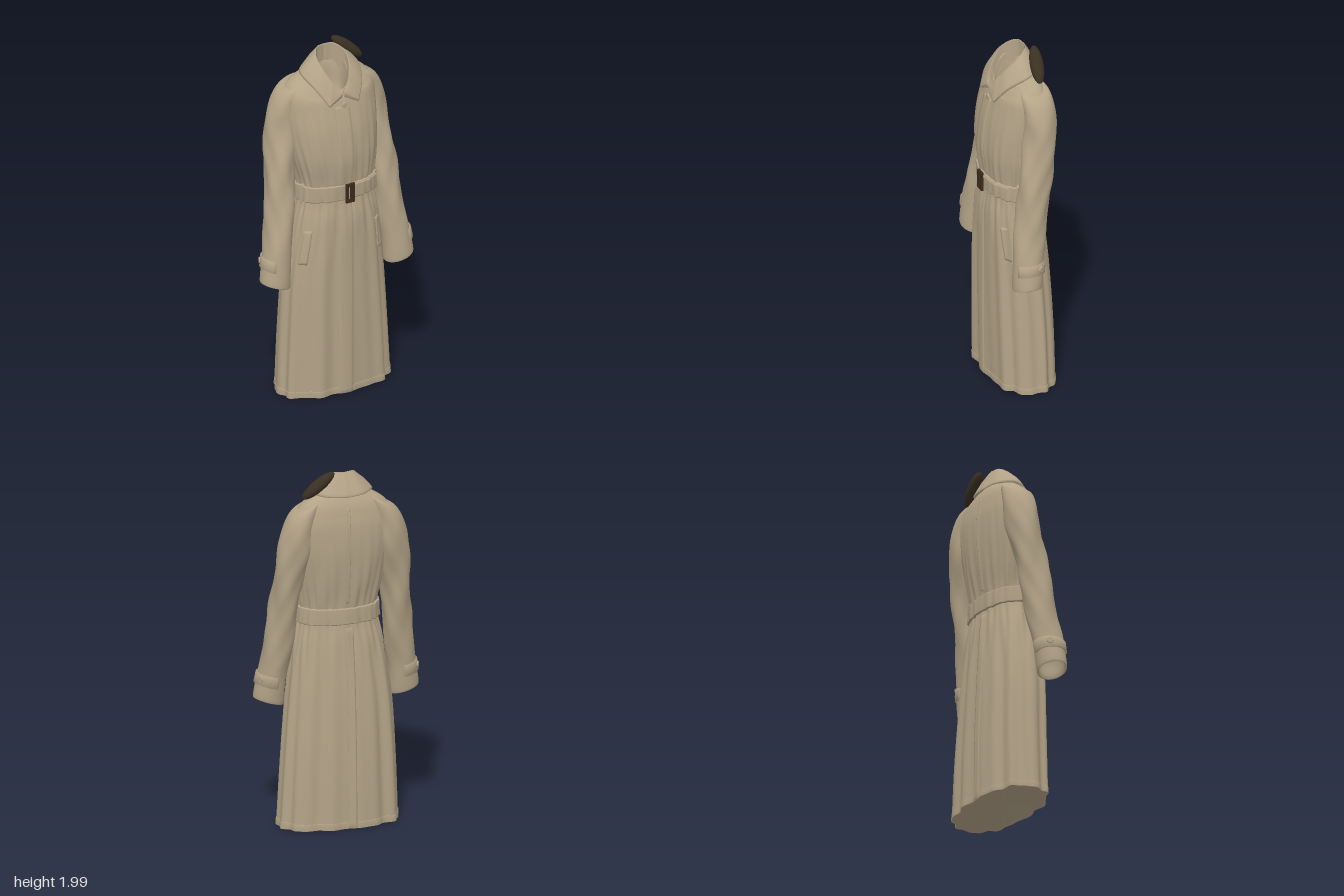
import * as THREE from 'three';
import { mergeVertices } from 'three/addons/utils/BufferGeometryUtils.js';

const mat = (name, color, side = THREE.FrontSide) => {
  const m = new THREE.MeshStandardMaterial({ color, side });
  m.name = name;
  return m;
};

// Smooth surface from a rule fn(u, v, i, j) -> Vector3
function surface(fn, nu, nv) {
  const pos = [], idx = [];
  for (let j = 0; j <= nv; j++)
    for (let i = 0; i <= nu; i++) pos.push(...fn(i / nu, j / nv, i, j).toArray());
  for (let j = 0; j < nv; j++)
    for (let i = 0; i < nu; i++) {
      const a = j * (nu + 1) + i, b = a + 1, c = a + nu + 1, d = c + 1;
      idx.push(a, b, d, a, d, c);
    }
  let g = new THREE.BufferGeometry();
  g.setAttribute('position', new THREE.Float32BufferAttribute(pos, 3));
  g.setIndex(idx);
  g = mergeVertices(g, 1e-5);
  g.computeVertexNormals();
  return g;
}

// Smooth interpolation through rows of numbers, t from 0 to rows.length - 1
function sample(rows, t) {
  const n = rows.length - 1, i = Math.min(Math.max(Math.floor(t), 0), n - 1), f = t - i;
  const at = k => rows[Math.min(Math.max(k, 0), n)];
  const [p, q, r, s] = [at(i - 1), at(i), at(i + 1), at(i + 2)];
  return q.map((b, k) => b + 0.5 * f * (r[k] - p[k] +
    f * (2 * p[k] - 5 * b + 4 * r[k] - s[k] + f * (3 * (b - r[k]) + s[k] - p[k]))));
}

// Body rows: y, centre x, half width, front z, side z, back z, front neckline drop, fold depth
const BODY = [
  [0.01, 0.014, 0.335, 0.165, -0.01, -0.183, 0, 0.013],
  [0.35, 0.01, 0.317, 0.17, -0.01, -0.178, 0, 0.012],
  [0.7, 0.005, 0.292, 0.172, 0, -0.163, 0, 0.01],
  [1.0, 0.01, 0.252, 0.172, 0.01, -0.14, 0, 0.008],
  [1.13, 0.013, 0.225, 0.158, 0.015, -0.125, 0, 0.006],
  [1.2, 0.013, 0.218, 0.155, 0.015, -0.122, 0, 0.003],
  [1.27, 0.012, 0.224, 0.164, 0.01, -0.13, 0, 0.006],
  [1.4, 0.005, 0.25, 0.174, 0, -0.15, 0, 0.004],
  [1.55, 0, 0.27, 0.162, -0.03, -0.163, 0, 0.002],
  [1.68, 0, 0.275, 0.134, -0.05, -0.162, 0, 0.001],
  [1.76, 0, 0.265, 0.12, -0.05, -0.15, 0.03, 0],
  [1.81, 0, 0.235, 0.11, -0.05, -0.138, 0.065, 0],
  [1.85, 0, 0.18, 0.105, -0.045, -0.12, 0.09, 0],
  [1.88, 0, 0.12, 0.1, -0.02, -0.1, 0.115, 0],
  [1.89, 0, 0.085, 0.09, 0, -0.08, 0.12, 0],
  [1.84, 0, 0.078, 0.07, 0, -0.065, 0.11, 0],
  [1.72, 0, 0.06, 0.05, 0, -0.05, 0, 0],
  [1.71, 0, 0, 0, 0, 0, 0, 0],
];
const spow = (v, e) => Math.sign(v) * Math.abs(v) ** e;
const EXP = 0.85;

// Point on the body; a = 0 is the front, a = PI / 2 is the wearer's left
function bodyPoint(t, a, off = 0) {
  const [y, cx, w, zf, zm, zb, drop, fold] = sample(BODY, t);
  const s = Math.sin(a), c = Math.cos(a);
  const skirt = 0.55 * Math.sin(11 * a + 0.8) + 0.35 * Math.sin(17 * a + 2.3 + y) + 0.3 * Math.sin(7 * a + 4 + 0.6 * y);
  const gather = 0.5 * Math.sin(29 * a + 4 * y) + 0.4 * Math.sin(18 * a + 9 * y) + 0.4 * Math.sin(9 * a - 12 * y);
  const k = THREE.MathUtils.smoothstep(y, 0.75, 1.2);
  const r = off + fold * THREE.MathUtils.lerp(skirt, gather, k);
  return new THREE.Vector3(
    cx + w * spow(s, EXP) + r * s,
    y - drop * Math.max(0, c) ** 1.5,
    zm + (c > 0 ? zf - zm : zm - zb) * spow(c, EXP) + r * c);
}
function rowAt(y) {
  let lo = 0, hi = 12;
  for (let i = 0; i < 30; i++) {
    const m = (lo + hi) / 2;
    if (sample(BODY, m)[0] < y) lo = m; else hi = m;
  }
  return lo;
}
function angleAt(x, t, back) {
  const r = sample(BODY, t), q = THREE.MathUtils.clamp((x - r[1]) / r[2], -1, 1);
  const a = Math.asin(spow(q, 1 / EXP));
  return back ? Math.PI - a : a;
}

// Raised cloth strip lying on the body, x0 and x1 may slide by lean from bottom to top
function strip(x0, x1, y0, y1, off, { back = false, lean = 0, nu = 8, nv = 40 } = {}) {
  return surface((u, v, i, j) => {
    const edge = i === 0 || j === 0 || i === nu || j === nv;
    const uu = THREE.MathUtils.clamp((i - 1) / (nu - 2), 0, 1), vv = THREE.MathUtils.clamp((j - 1) / (nv - 2), 0, 1);
    const t = rowAt(y0 + (y1 - y0) * vv);
    return bodyPoint(t, angleAt(x0 + (x1 - x0) * uu + lean * vv, t, back), edge ? -0.003 : off);
  }, nu, nv);
}

// Sleeve rows: x, y, z, radius x, radius z, slope of the ring
const SLEEVE = [
  [0.17, 1.835, -0.055, 0.0, 0.0, -0.5],
  [0.18, 1.825, -0.055, 0.045, 0.05, -0.45],
  [0.215, 1.79, -0.055, 0.08, 0.083, -0.35],
  [0.25, 1.69, -0.06, 0.092, 0.09, -0.2],
  [0.275, 1.55, -0.055, 0.09, 0.09, 0],
  [0.305, 1.35, -0.02, 0.079, 0.09, 0],
  [0.322, 1.18, 0.005, 0.078, 0.088, 0],
  [0.34, 1.0, 0.03, 0.078, 0.088, 0.1],
  [0.365, 0.85, 0.05, 0.076, 0.085, 0.2],
  [0.38, 0.71, 0.062, 0.083, 0.08, 0.28],
  [0.38, 0.715, 0.062, 0.072, 0.07, 0.28],
  [0.37, 0.8, 0.055, 0.06, 0.06, 0.25],
  [0.37, 0.81, 0.055, 0, 0, 0.25],
];
function sleevePoint(t, a, off = 0) {
  const [x, y, z, rx, rz, slope] = sample(SLEEVE, t);
  const fade = t > 2 && t < 8.6 ? Math.sin((t - 2) / 6.6 * Math.PI) : 0;
  const r = off + 0.005 * fade * (Math.sin(3 * a + y * 14) + 0.6 * Math.sin(5 * a - y * 23));
  const dx = (Math.max(rx, 0) + r) * Math.sin(a);
  return new THREE.Vector3(x + dx, y + slope * dx, z + (Math.max(rz, 0) + r) * Math.cos(a));
}

// Collar curves for one half, from centre back to centre front, with a sharp point
const V = (x, y, z) => new THREE.Vector3(x, y, z);
const half = (...p) => {
  const curve = new THREE.CatmullRomCurve3(p.slice(0, 5));
  return u => u < 0.8 ? curve.getPoint(u / 0.8) : p[4].clone().lerp(p[5], (u - 0.8) / 0.2);
};
const stand = half(V(0, 1.83, -0.078), V(0.05, 1.84, -0.063), V(0.08, 1.83, 0), V(0.065, 1.79, 0.05), V(0.035, 1.765, 0.08), V(0.004, 1.75, 0.1));
const foldLine = half(V(0, 1.982, -0.075), V(0.052, 1.982, -0.058), V(0.088, 1.95, 0), V(0.077, 1.895, 0.058), V(0.048, 1.83, 0.104), V(0.005, 1.772, 0.125));
const outer = half(V(0, 1.86, -0.138), V(0.11, 1.865, -0.115), V(0.176, 1.865, -0.03), V(0.148, 1.805, 0.08), V(0.092, 1.71, 0.142), V(0.005, 1.765, 0.135));
function collarPoint(u, v, i, j) {
  const s = stand(u), f = foldLine(u), o = outer(u);
  const mid = f.clone().lerp(o, 0.5).add(V(0, 0.012, 0.002));
  const under = o.clone().lerp(f, 0.12).add(V(0, -0.02, -0.004));
  const rows = [s, s.clone().lerp(f, 0.6), f.clone().lerp(s, 0.06), f, f.clone().lerp(mid, 0.15), mid, o.clone().lerp(f, 0.06).add(V(0, 0.005, 0.002)), o, under];
  return rows[j];
}

export function createModel() {
  const cloth = mat('tan cloth', 0xb3a387, THREE.DoubleSide);
  const dark = mat('dark wood', 0x3a3022);
  const leather = mat('brown buckle', 0x3b2a1c);
  const coat = new THREE.Group();
  coat.name = 'coat';
  const add = (name, geometry, material = cloth, parent = coat) => {
    const m = new THREE.Mesh(geometry, material);
    m.name = name;
    parent.add(m);
    return m;
  };

  // Body with skirt folds, gathered waist, shoulders and neck opening
  const rows = BODY.length - 1;
  add('body', surface((u, v) => bodyPoint(v * rows, u * Math.PI * 2), 160, rows * 7));
  // Lining closing the hem, slightly hollow
  add('hemLining', surface((u, v) => {
    const p = bodyPoint(0, u * Math.PI * 2);
    return V(p.x * v, p.y + 0.03 * (1 - v), p.z * v);
  }, 160, 4));

  // Front placket, back seam with vent, hem band, pocket welts
  add('frontPlacket', strip(-0.05, 0.035, 0.012, 1.7, 0.006, { nv: 80 }));
  add('backSeam', strip(-0.008, 0.008, 1.26, 1.8, 0.003, { back: true }));
  add('backVent', strip(-0.035, 0.01, 0.012, 1.12, 0.006, { back: true }));
  add('hemBand', surface((u, v, i, j) =>
    bodyPoint(rowAt([0.01, 0.012, 0.045, 0.047][j]), u * Math.PI * 2, j === 0 || j === 3 ? 0 : 0.003), 160, 3));
  for (const s of [-1, 1])
    add('pocketWelt', strip(s * 0.235 - 0.016, s * 0.235 + 0.016, 0.8, 0.99, 0.009, { lean: -s * 0.03, nv: 16 }));

  // Belt with loose end, loops and buckle
  const band = (y0, y1, off, a0, a1, n) => surface((u, v, i, j) => {
    const dip = y => y - 0.012 * (1 - Math.cos(a0 + (a1 - a0) * u)) / 2;
    const t = rowAt(dip([y0, y0, y0 + 0.006, (y0 + y1) / 2, y1 - 0.006, y1, y1][j]));
    return bodyPoint(t, a0 + (a1 - a0) * u, [0, off - 0.004, off, off, off, off - 0.004, 0][j]);
  }, n, 6);
  add('belt', band(1.155, 1.245, 0.014, 0, Math.PI * 2, 120));
  add('beltEnd', band(1.16, 1.24, 0.021, 0.08, 1.0, 24));
  for (const a of [-1.35, 1.35]) add('beltLoop', band(1.145, 1.255, 0.02, a - 0.05, a + 0.05, 4));
  const frame = new THREE.Shape([[-0.025, -0.053], [0.025, -0.053], [0.025, 0.053], [-0.025, 0.053]].map(p => new THREE.Vector2(...p)));
  frame.holes.push(new THREE.Path([[-0.013, -0.04], [-0.013, 0.04], [0.013, 0.04], [0.013, -0.04]].map(p => new THREE.Vector2(...p))));
  const buckle = new THREE.Group();
  buckle.name = 'buckle';
  buckle.position.set(0.012, 1.197, 0.178);
  add('buckleFrame', new THREE.ExtrudeGeometry(frame, { depth: 0.01, bevelSize: 0.002, bevelThickness: 0.003, bevelSegments: 2 }), leather, buckle);
  add('bucklePin', new THREE.BoxGeometry(0.007, 0.09, 0.008), leather, buckle).position.z = 0.01;
  coat.add(buckle);

  // Collar halves and the neck button
  for (const s of [-1, 1])
    add('collar', surface((...k) => collarPoint(...k).multiply(V(s, 1, 1)), 50, 8));
  const button = new THREE.CylinderGeometry(0.016, 0.018, 0.008, 20).rotateX(Math.PI / 2);
  add('neckButton', button).position.set(0.005, 1.7, 0.138);

  // Sleeves with cuff straps and buttons
  for (const s of [1, -1]) {
    const sleeve = new THREE.Group();
    sleeve.name = s > 0 ? 'leftSleeve' : 'rightSleeve';
    sleeve.scale.x = s;
    sleeve.position.z = s > 0 ? 0.004 : -0.008;
    coat.add(sleeve);
    add('arm', surface((u, v) => sleevePoint(v * 12, u * Math.PI * 2), 48, 96), cloth, sleeve);
    add('cuffStrap', surface((u, v, i, j) => sleevePoint(
      8 + [0, 0, 0.2, 0.4, 0.4][j], 0.5 + 2.9 * u, j === 0 || j === 4 || i === 0 || i === 24 ? -0.002 : 0.009), 24, 4), cloth, sleeve);
    const b = add('cuffButton', button, cloth, sleeve);
    b.position.copy(sleevePoint(8.2, 2.1, 0.011));
    b.rotation.y = 2.1;
  }

  // Dark wooden pad resting on the left shoulder
  const pad = add('shoulderPad', new THREE.SphereGeometry(1, 32, 20), dark);
  pad.scale.set(0.11, 0.033, 0.037);
  pad.position.set(0.15, 1.924, -0.086);
  pad.rotation.set(0, -0.18, -0.69);
  return coat;
}
